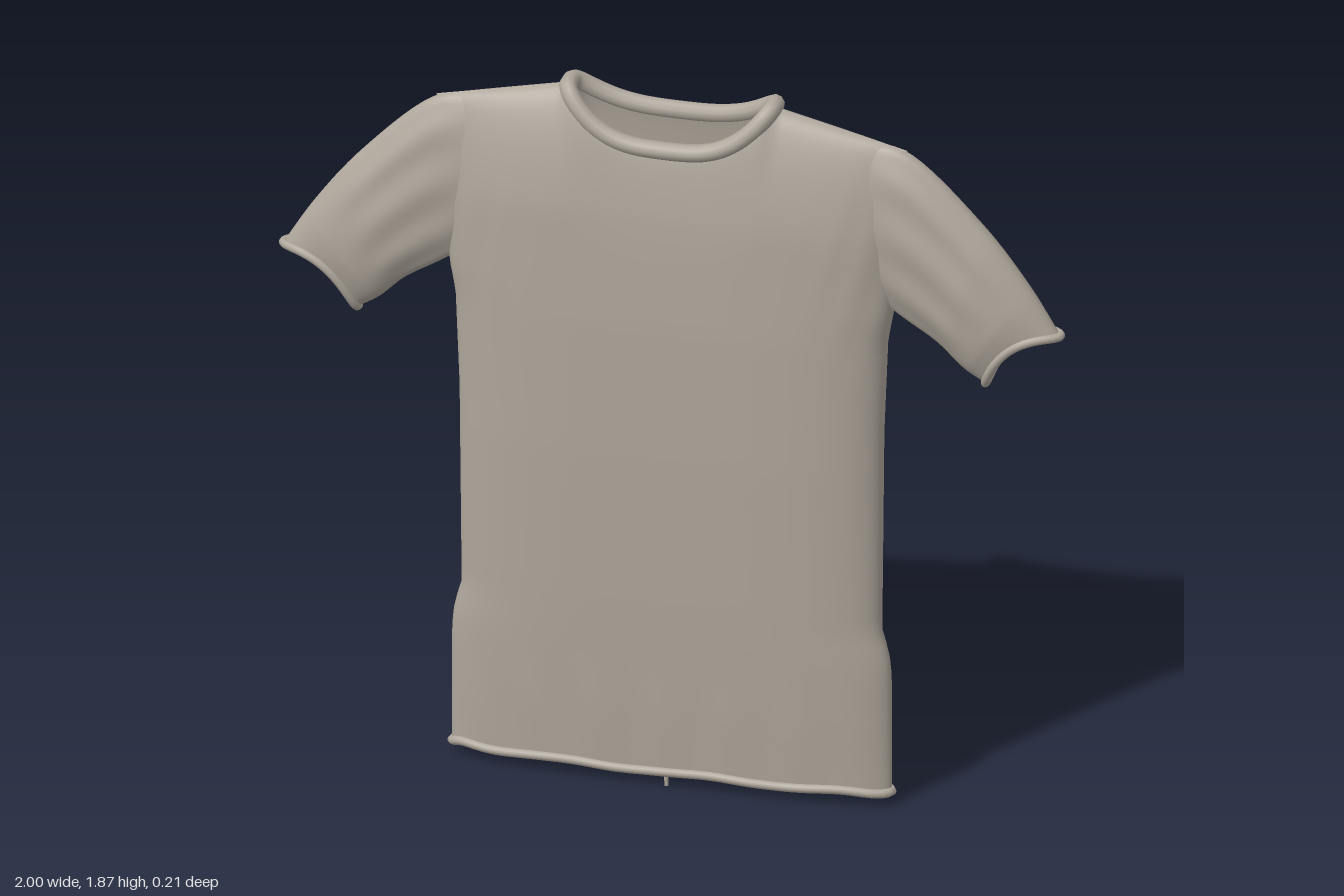
import * as THREE from 'three';

const cloth = new THREE.MeshStandardMaterial({ color: 0xafa79c, side: THREE.DoubleSide });
cloth.name = 'warm grey cloth';

// Piecewise linear lookup in a list of [key, value]
function lookup(table, k) {
  if (k <= table[0][0]) return table[0][1];
  for (let i = 1; i < table.length; i++) {
    const [a, va] = table[i - 1], [b, vb] = table[i];
    if (k <= b) return va + (vb - va) * (k - a) / (b - a);
  }
  return table[table.length - 1][1];
}

// Smooth surface of closed rings: point(angle, t) gives a position
function ringSurface(name, segments, rows, point) {
  const positions = [], index = [];
  for (let j = 0; j <= rows; j++) {
    for (let i = 0; i < segments; i++) {
      positions.push(...point(i / segments * Math.PI * 2, j / rows).toArray());
    }
  }
  for (let j = 0; j < rows; j++) {
    for (let i = 0; i < segments; i++) {
      const n = (i + 1) % segments;
      const a = j * segments + i, b = j * segments + n;
      index.push(a, b, b + segments, a, b + segments, a + segments);
    }
  }
  const geometry = new THREE.BufferGeometry();
  geometry.setAttribute('position', new THREE.Float32BufferAttribute(positions, 3));
  geometry.setIndex(index);
  geometry.computeVertexNormals();
  return named(name, geometry);
}

function named(name, geometry) {
  const mesh = new THREE.Mesh(geometry, cloth);
  mesh.name = name;
  return mesh;
}

// Rolled edge along a closed path
function rolledEdge(name, radius, count, point) {
  const points = [];
  for (let i = 0; i < count; i++) points.push(point(i / count * Math.PI * 2));
  const path = new THREE.CatmullRomCurve3(points, true);
  return named(name, new THREE.TubeGeometry(path, 160, radius, 10, true));
}

// Torso half width and half depth by height
const WIDTH = [[0.04, 0.56], [0.34, 0.56], [0.41, 0.553], [0.46, 0.535], [1.0, 0.54],
  [1.25, 0.55], [1.33, 0.565], [1.77, 0.6]];
const DEPTH = [[0.04, 0.058], [0.2, 0.07], [0.5, 0.086], [0.9, 0.1], [1.25, 0.105],
  [1.55, 0.1], [1.85, 0.085]];
const NECK = 0.26, NECK_DEPTH = 0.064, HEM = 0.04;

// Neckline dips at front and back, shoulders slope outwards
function topHeight(x, front) {
  const ax = Math.abs(x);
  if (ax >= NECK) return 1.845 - 0.075 * (ax - NECK) / (0.6 - NECK);
  const low = front ? 1.72 : 1.775;
  return low + (1.845 - low) * (ax / NECK) ** 3;
}

function neckDepth(x) {
  const k = Math.min(1, Math.abs(x) / NECK);
  return NECK_DEPTH * Math.sqrt(1 - k ** 6);
}

function torsoPoint(angle, t) {
  const u = Math.sin(angle), front = Math.cos(angle) >= 0, au = Math.abs(u);
  const top = topHeight(u * 0.6, front);
  const y = HEM + (top - HEM) * (1 - (1 - t) ** 1.5);
  const drop = Math.min(1, (top - y) / 0.33);
  const round = Math.sqrt(1 - (1 - drop) ** 2);
  let z = lookup(DEPTH, y) * Math.sqrt(Math.max(0, 1 - au ** 4)) * round
    + neckDepth(u * 0.6) * (1 - round);
  // Soft folds above the hem and beside the armholes
  const hemFold = Math.exp(-(((y - 0.16) / 0.13) ** 2)) * 0.003 * Math.sin(u * 21 + y * 9);
  const armFold = Math.exp(-(((y - 1.45) / 0.2) ** 2)) * au ** 6 * 0.005 * Math.sin(u * 40 - y * 14);
  z += (hemFold + armFold) * Math.sqrt(1 - au * au) * Math.min(1, drop * 3);
  return new THREE.Vector3(u * lookup(WIDTH, y), y, front ? z : -z);
}

// Upper and lower edge lines of a sleeve
const line = (pts) => new THREE.CatmullRomCurve3(pts.map(([x, y]) => new THREE.Vector3(x, y, 0)));
const upper = line([[0.5, 1.785], [0.6, 1.765], [0.79, 1.595], [0.91, 1.445], [0.99, 1.32]]);
const lower = line([[0.5, 1.38], [0.6, 1.315], [0.68, 1.265], [0.745, 1.205], [0.8, 1.17]]);
const SLEEVE_DEPTH = [[0, 0.05], [0.25, 0.056], [0.55, 0.064], [0.8, 0.059], [1, 0.046]];

function sleevePoint(angle, t) {
  const a = upper.getPoint(t), b = lower.getPoint(t);
  const c = Math.cos(angle), s = Math.sin(angle);
  const p = a.clone().add(b).multiplyScalar(0.5).addScaledVector(a.sub(b), c / 2);
  // The cuff dips back between its two corners
  const dip = 0.045 * s * s * t ** 4;
  const fold = 0.004 * Math.sin(angle * 9) * Math.sin(Math.PI * Math.min(1, t * 1.4));
  p.x -= dip * 0.45;
  p.y += dip * 0.9;
  p.z = s * (lookup(SLEEVE_DEPTH, t) + fold);
  return p;
}

function makeSleeve(side) {
  const sleeve = new THREE.Group();
  sleeve.name = side > 0 ? 'leftSleeve' : 'rightSleeve';
  sleeve.add(ringSurface('sleeveCloth', 72, 30, sleevePoint));
  sleeve.add(rolledEdge('cuff', 0.011, 32, (a) => sleevePoint(a, 1)));
  sleeve.scale.x = side;
  return sleeve;
}

export function createModel() {
  const shirt = new THREE.Group();
  shirt.name = 'tShirt';

  shirt.add(ringSurface('torso', 200, 64, torsoPoint));
  shirt.add(makeSleeve(1), makeSleeve(-1));

  // Thick collar following the neckline
  shirt.add(rolledEdge('collar', 0.023, 48, (a) => {
    const c = Math.cos(a), s = Math.sin(a);
    const x = NECK * Math.sign(s) * Math.abs(s) ** 0.6;
    const z = NECK_DEPTH * Math.sign(c) * Math.abs(c) ** 0.6;
    return new THREE.Vector3(x, topHeight(x, c >= 0), z);
  }));

  // Rolled hem with a slight waver
  shirt.add(rolledEdge('hem', 0.012, 80, (a) => {
    const p = torsoPoint(a, 0);
    p.y += 0.003 * Math.sin(a * 9) - 0.008 * Math.abs(Math.sin(a)) ** 30;
    return p;
  }));

  // Loose thread ends at the middle of the hem
  for (const z of [0.05, -0.05]) {
    const thread = named('hemThread', new THREE.CylinderGeometry(0.006, 0.005, 0.04, 8));
    thread.position.set(0, 0.02, z);
    shirt.add(thread);
  }
  return shirt;
}
